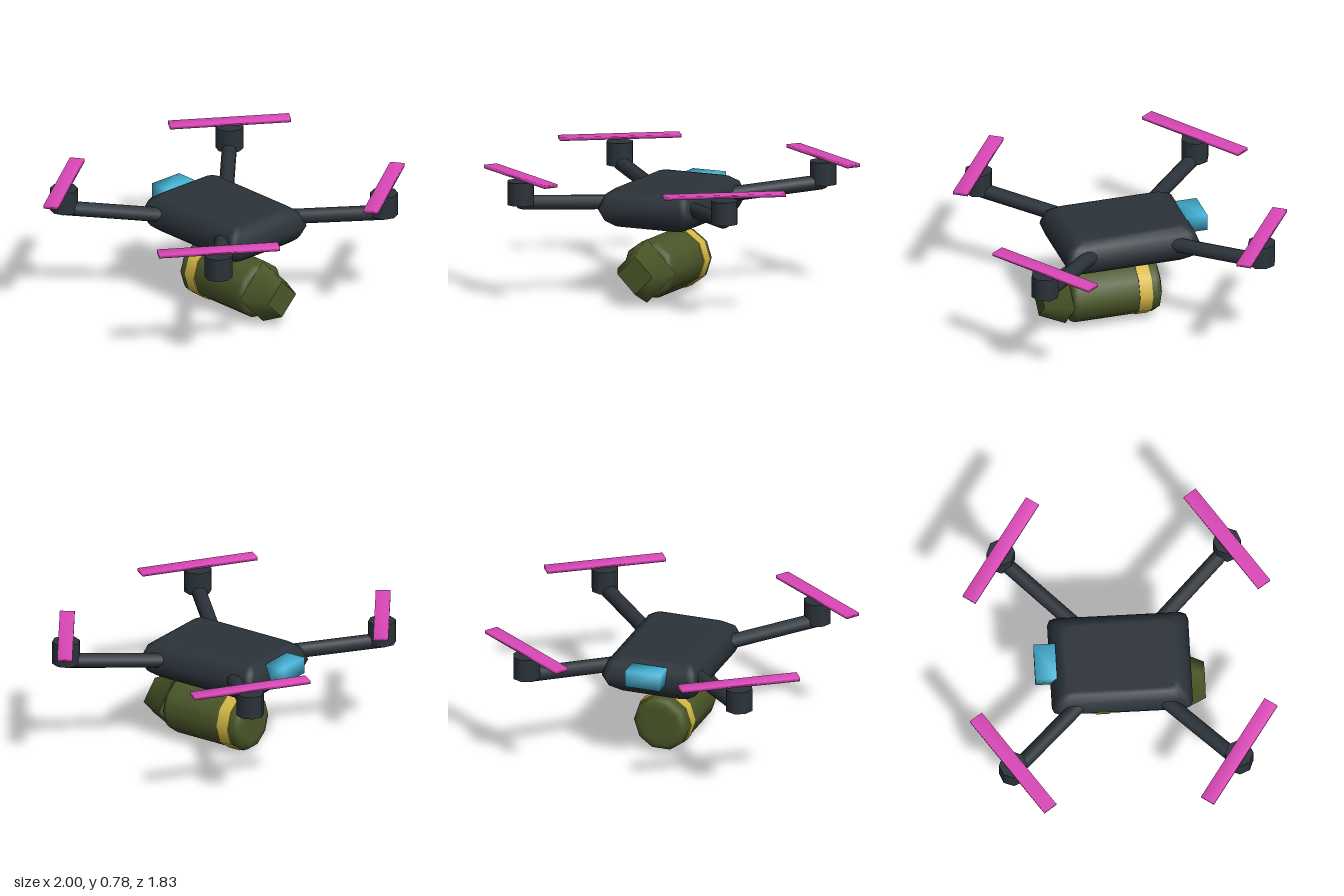
import * as THREE from 'three';
import { mergeVertices } from 'three/addons/utils/BufferGeometryUtils.js';

const mat = (name, color) => Object.assign(new THREE.MeshStandardMaterial({ color }), { name });

// Box with normals averaged at the corners
function softBox(w, h, d) {
  let g = new THREE.BoxGeometry(w, h, d);
  g.deleteAttribute('normal');
  g.deleteAttribute('uv');
  g = mergeVertices(g);
  g.computeVertexNormals();
  return g;
}

// Hull with bevelled edges: stacked rounded rectangles given as [height, inset]
function hullGeometry(halfX, halfZ, corner, levels) {
  const pos = [], idx = [], steps = 2, n = 4 * (steps + 1);
  for (const [y, inset] of levels) {
    for (let q = 0; q < 4; q++) {
      const sx = q === 0 || q === 3 ? 1 : -1, sz = q < 2 ? 1 : -1;
      for (let s = 0; s <= steps; s++) {
        const a = (q + s / steps) * Math.PI / 2;
        pos.push(
          sx * (halfX - inset - corner) + corner * Math.cos(a), y,
          sz * (halfZ - inset - corner) + corner * Math.sin(a));
      }
    }
  }
  const last = levels.length - 1, bottom = pos.length / 3, top = bottom + 1;
  pos.push(0, levels[0][0], 0, 0, levels[last][0], 0);
  for (let j = 0; j < n; j++) {
    const k = (j + 1) % n;
    for (let i = 0; i < last; i++) {
      const a = i * n + j, b = i * n + k;
      idx.push(a, a + n, b, b, a + n, b + n);
    }
    idx.push(bottom, j, k, top, last * n + k, last * n + j);
  }
  const g = new THREE.BufferGeometry();
  g.setAttribute('position', new THREE.Float32BufferAttribute(pos, 3));
  g.setIndex(idx);
  g.computeVertexNormals();
  return g;
}

export function createModel() {
  const model = new THREE.Group();
  model.name = 'quadcopter';
  const dark = mat('dark slate', 0x2b333a);
  const olive = mat('olive', 0x4b5729);
  const yellow = mat('yellow', 0xd6ba46);
  const pink = mat('pink', 0xdc48b9);
  const blue = mat('blue', 0x45b5d9);

  const add = (name, geometry, material, parent = model) => {
    const mesh = new THREE.Mesh(geometry, material);
    mesh.name = name;
    parent.add(mesh);
    return mesh;
  };

  // Central body
  add('body', hullGeometry(0.305, 0.42, 0.045, [
    [0.453, 0.1], [0.453, 0.075], [0.488, 0.03], [0.56, 0],
    [0.64, 0.03], [0.674, 0.075], [0.674, 0.1],
  ]), dark);

  // Rear module
  add('rearModule', softBox(0.22, 0.1, 0.13), blue).position.set(0, 0.61, -0.445);

  // Four arms, each with a motor and a propeller
  const hub = 0.673, up = new THREE.Vector3(0, 1, 0);
  const motorGeo = new THREE.CylinderGeometry(0.084, 0.084, 0.14, 8);
  const propGeo = softBox(0.727, 0.02, 0.089);
  for (const sx of [1, -1]) {
    for (const sz of [1, -1]) {
      const rotor = new THREE.Group();
      rotor.name = (sz > 0 ? 'front' : 'rear') + (sx > 0 ? 'Left' : 'Right') + 'Rotor';
      model.add(rotor);

      const a = new THREE.Vector3(sx * 0.2, 0.575, sz * 0.2);
      const b = new THREE.Vector3(sx * 0.665, 0.617, sz * 0.665);
      const dir = b.clone().sub(a);
      const arm = add('arm', new THREE.CapsuleGeometry(0.045, dir.length(), 3, 10), dark, rotor);
      arm.position.copy(a).add(b).multiplyScalar(0.5);
      arm.quaternion.setFromUnitVectors(up, dir.normalize());

      add('motor', motorGeo, dark, rotor).position.set(sx * hub, 0.675, sz * hub);

      const prop = add('propeller', propGeo, pink, rotor);
      prop.position.set(sx * hub, 0.775, sz * hub);
      prop.rotation.y = 0.6 * sx * sz;
    }
  }

  // Slung canister, built along +y and then turned to point forward
  const payload = new THREE.Group();
  payload.name = 'payload';
  payload.position.y = 0.2;
  payload.rotation.x = Math.PI / 2;
  model.add(payload);
  const profile = [[0, -0.22], [0.1, -0.22], [0.13, -0.22], [0.16, -0.208], [0.174, -0.18],
    [0.174, 0.3], [0.16, 0.328], [0.13, 0.34], [0, 0.34]].map(([r, y]) => new THREE.Vector2(r, y));
  add('canister', new THREE.LatheGeometry(profile, 10, Math.PI / 2), olive, payload);
  add('band', new THREE.CylinderGeometry(0.18, 0.18, 0.08, 10, 1, false, Math.PI / 2), yellow, payload)
    .position.y = -0.112;
  add('nose', new THREE.CylinderGeometry(0.115, 0.193, 0.165, 4), olive, payload).position.y = 0.4225;

  return model;
}
